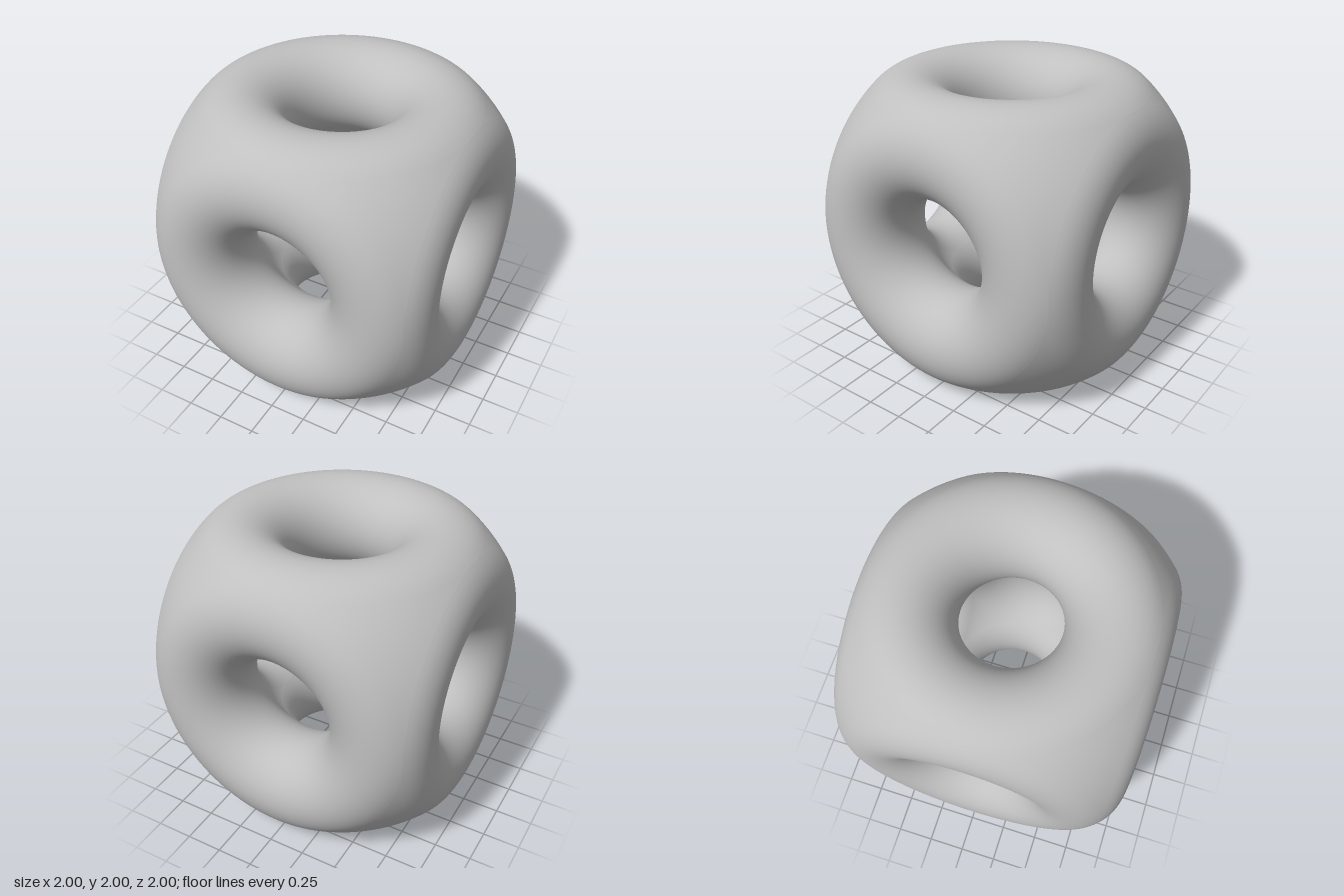
import * as THREE from 'three';
import { ParametricGeometry } from 'three/addons/geometries/ParametricGeometry.js';

const R = 2 / 3;              // ring radius, and its distance from the centre
const TUBE = 1 / 3;           // half the wall thickness
const SHELL = R * Math.SQRT2; // radius of the sphere through all ring centre lines
const QUARTER = 24;           // segments per quarter turn

// Rounded rim of one opening: half a tube swept round the y axis
function rimGeometry() {
  const points = [];
  for (let i = 0; i <= 40; i++) {
    const a = Math.PI / 4 + (Math.PI * i) / 40;
    points.push(new THREE.Vector2(R + TUBE * Math.cos(a), R + TUBE * Math.sin(a)));
  }
  return new THREE.LatheGeometry(points, QUARTER * 4);
}

// One third of a spherical corner, between the rim's quarter arc and the corner's middle
function cornerGeometry(radius, side) {
  const middle = new THREE.Vector3(1, 1, 1).normalize();
  const arc = new THREE.Vector3();
  const patch = (turn, t, target) => {
    const a = (turn * Math.PI) / 2;
    arc.set(Math.sin(a), 1, Math.cos(a)).normalize();
    target.lerpVectors(middle, arc, t).setLength(radius);
  };
  const geometry = side > 0
    ? new ParametricGeometry(patch, QUARTER, 10)
    : new ParametricGeometry((u, v, target) => patch(v, u, target), 10, QUARTER);
  // exact sphere normals, pointing out of the wall
  const { position, normal } = geometry.attributes;
  const n = new THREE.Vector3();
  for (let i = 0; i < position.count; i++) {
    n.fromBufferAttribute(position, i).setLength(1).multiplyScalar(side);
    normal.setXYZ(i, n.x, n.y, n.z);
  }
  return geometry;
}

export function createModel() {
  const model = new THREE.Group();
  model.name = 'piercedShell';
  const grey = new THREE.MeshStandardMaterial({ color: 0xc0c0c0 });
  grey.name = 'grey';

  const rim = rimGeometry();
  const outer = cornerGeometry(SHELL + TUBE, 1);
  const inner = cornerGeometry(SHELL - TUBE, -1);

  const add = (parent, geometry, name, turn = 0) => {
    const mesh = new THREE.Mesh(geometry, grey);
    mesh.name = name;
    mesh.rotation.y = turn;
    parent.add(mesh);
  };

  // The same pierced face, turned to six directions
  const faces = {
    topFace: [0, 0],
    bottomFace: [Math.PI, 0],
    frontFace: [Math.PI / 2, 0],
    backFace: [-Math.PI / 2, 0],
    leftFace: [0, -Math.PI / 2],
    rightFace: [0, Math.PI / 2],
  };
  for (const [name, [rx, rz]] of Object.entries(faces)) {
    const face = new THREE.Group();
    face.name = name;
    face.rotation.set(rx, 0, rz);
    face.position.y = 1;
    add(face, rim, 'openingRim');
    for (let k = 0; k < 4; k++) {
      add(face, outer, 'outerCorner', (k * Math.PI) / 2);
      add(face, inner, 'innerCorner', (k * Math.PI) / 2);
    }
    model.add(face);
  }
  return model;
}
